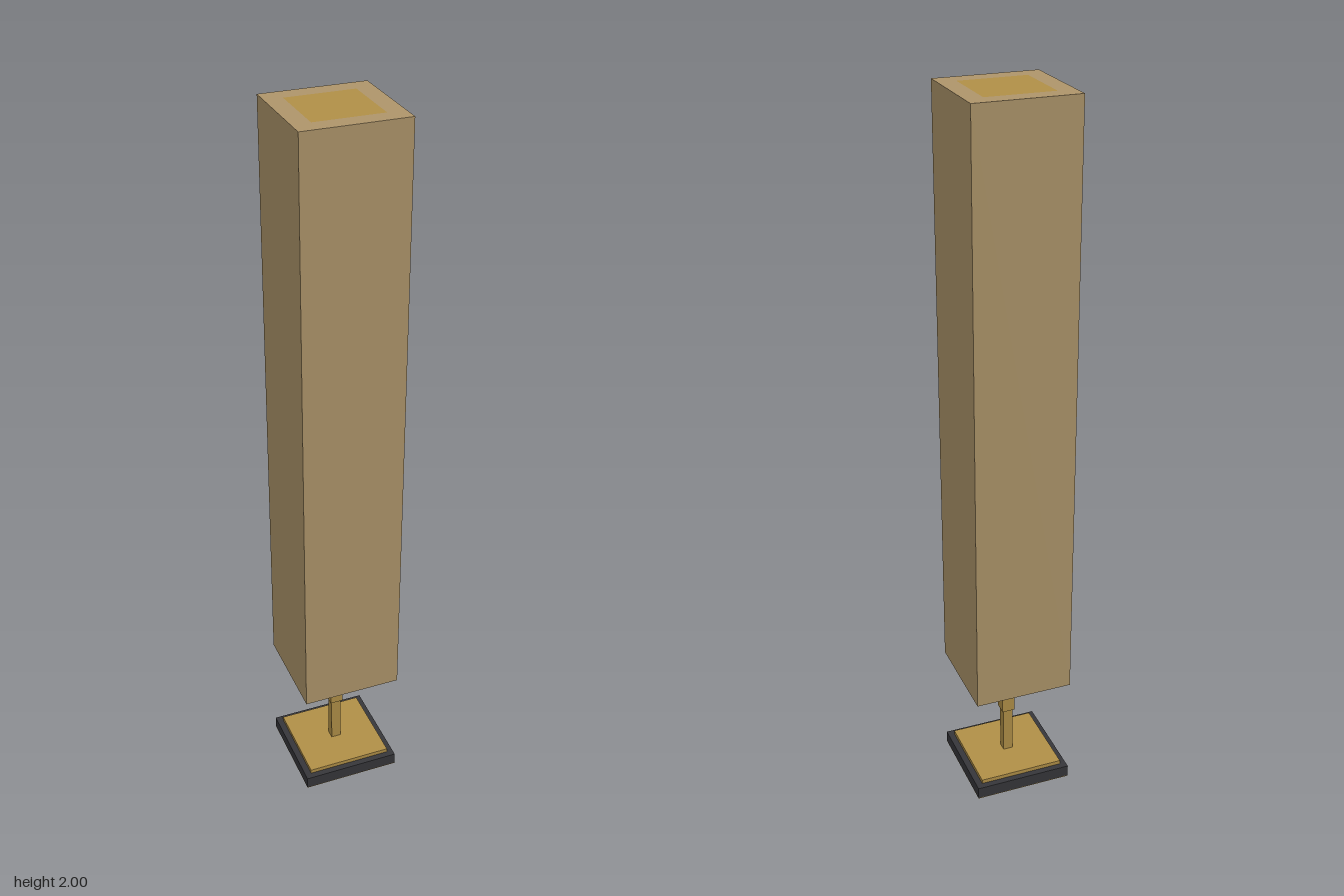
import * as THREE from 'three';

const brass = new THREE.MeshStandardMaterial({ color: 0xb08f47 });
const linen = new THREE.MeshStandardMaterial({ color: 0xae956a });
const black = new THREE.MeshStandardMaterial({ color: 0x36363a });

// Square block between two heights, centred on the y axis
function block(name, width, bottom, top, material) {
  const mesh = new THREE.Mesh(new THREE.BoxGeometry(width, top - bottom, width), material);
  mesh.position.y = (bottom + top) / 2;
  mesh.name = name;
  return mesh;
}

function square(width, PathType) {
  const h = width / 2;
  return new PathType([[-h, -h], [h, -h], [h, h], [-h, h]].map(([x, y]) => new THREE.Vector2(x, y)));
}

export function createModel() {
  const lamp = new THREE.Group();
  lamp.name = 'floorLamp';

  // Stepped base with a thin sole
  lamp.add(block('baseSole', 0.28, 0, 0.002, brass));
  lamp.add(block('base', 0.28, 0.002, 0.036, black));
  lamp.add(block('basePlate', 0.244, 0.036, 0.048, brass));

  // Square stem: slim below, wider sleeve reaching into the shade
  lamp.add(block('stem', 0.028, 0.048, 0.19, brass));
  lamp.add(block('stemSleeve', 0.038, 0.19, 1.44, brass));
  lamp.add(block('shadeSupport', 0.184, 1.44, 1.45, brass));

  // Tall shade, a square tube open at the bottom
  const outline = square(0.28, THREE.Shape);
  outline.holes.push(square(0.184, THREE.Path));
  const tube = new THREE.ExtrudeGeometry(outline, { depth: 1.67, bevelEnabled: false });
  tube.rotateX(-Math.PI / 2);
  const shade = new THREE.Mesh(tube, linen);
  shade.position.y = 0.33;
  shade.name = 'shade';
  lamp.add(shade);

  // Panel closing the top of the shade
  lamp.add(block('topPanel', 0.184, 1.99, 2, brass));

  return lamp;
}
